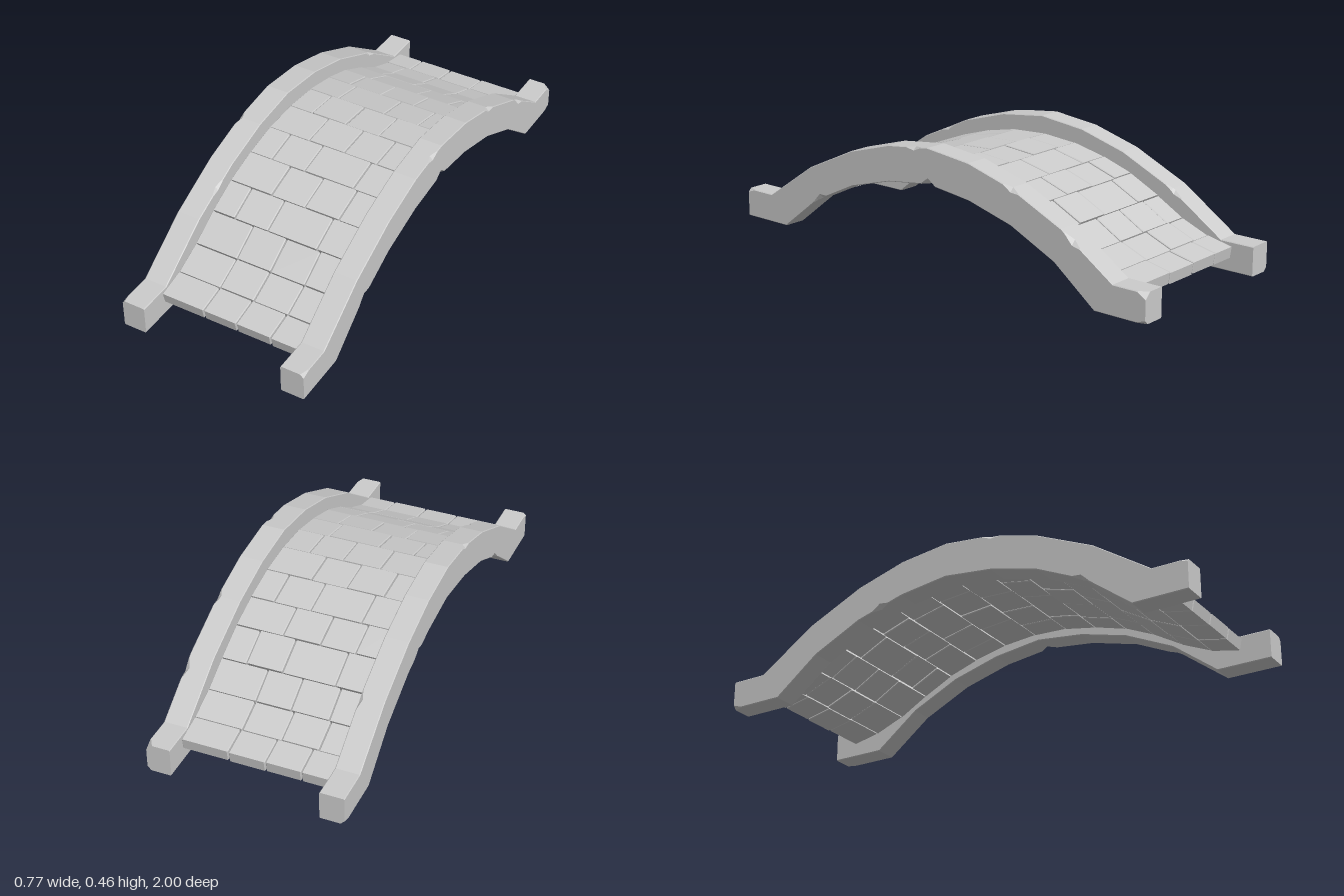
import * as THREE from 'three';

const material = new THREE.MeshStandardMaterial({ color: 0xcccccc, flatShading: true });

// Half profiles as [distance from crown, height]
const RAIL_TOP = [[0, 0.455], [0.2, 0.432], [0.4, 0.375], [0.63, 0.27], [0.86, 0.115], [1, 0.115]];
const RAIL_BOTTOM = [[0, 0.315], [0.2, 0.29], [0.4, 0.235], [0.6, 0.14], [0.78, 0], [1, 0]];
const DECK_TOP = [[0, 0.386], [0.135, 0.378], [0.275, 0.35], [0.415, 0.308], [0.54, 0.25], [0.66, 0.178], [0.775, 0.126], [0.92, 0.095]];

function heightAt(profile, z) {
  const d = Math.abs(z);
  for (let i = 1; i < profile.length; i++) {
    const [d0, y0] = profile[i - 1], [d1, y1] = profile[i];
    if (d <= d1 + 1e-6) return y0 + (y1 - y0) * (d - d0) / (d1 - d0);
  }
  return profile[profile.length - 1][1];
}

// Arched rail lofted from chamfered sections; chips are [z, corner, size]
// corners: 0 inner bottom, 1 outer bottom, 2 outer top, 3 inner top
function makeRail(side, chips) {
  const inner = 0.289, width = 0.095, edge = 0.003, reach = 0.035;
  const zs = new Set([0]);
  for (const d of [0.2, 0.4, 0.6, 0.63, 0.78, 0.86, 1]) zs.add(d).add(-d);
  for (const [z] of chips) for (const s of [z - reach, z, z + reach]) if (Math.abs(s) <= 1) zs.add(s);
  const stations = [...zs].sort((a, b) => a - b);
  const positions = [], index = [];

  for (const z of stations) {
    const b = heightAt(RAIL_BOTTOM, z), t = heightAt(RAIL_TOP, z);
    const c = [0, 1, 2, 3].map((k) => chips.reduce((m, [cz, corner, size]) =>
      corner === k ? Math.max(m, size * (1 - Math.abs(z - cz) / reach)) : m, edge));
    const section = [
      [0, b + c[0]], [c[0], b], [width - c[1], b], [width, b + c[1]],
      [width, t - c[2]], [width - c[2], t], [c[3], t], [0, t - c[3]],
    ];
    for (const [u, y] of section) positions.push(side * (inner + u), y, z);
  }

  const tri = (a, b, c) => (side > 0 ? index.push(a, b, c) : index.push(a, c, b));
  const last = (stations.length - 1) * 8;
  for (let i = 0; i < stations.length - 1; i++) {
    for (let j = 0; j < 8; j++) {
      const a = i * 8 + j, b = i * 8 + (j + 1) % 8;
      tri(a, b, b + 8);
      tri(a, b + 8, a + 8);
    }
  }
  for (let j = 1; j < 7; j++) {
    tri(0, j + 1, j);
    tri(last, last + j, last + j + 1);
  }
  const indexed = new THREE.BufferGeometry();
  indexed.setAttribute('position', new THREE.Float32BufferAttribute(positions, 3));
  indexed.setIndex(index);
  const geometry = indexed.toNonIndexed();
  geometry.computeVertexNormals();
  return new THREE.Mesh(geometry, material);
}

// Point on the deck top and its partner on the underside
function deckEdge(z) {
  const e = 0.03, thickness = 0.045;
  const top = new THREE.Vector2(z, heightAt(DECK_TOP, z));
  const slope = (heightAt(DECK_TOP, z + e) - heightAt(DECK_TOP, z - e)) / (2 * e);
  const normal = new THREE.Vector2(-slope, 1).normalize();
  return [top, top.clone().addScaledVector(normal, -thickness)];
}

// One paving stone spanning z0..z1 and x0..x1
function makeStone(z0, z1, x0, x1, lift) {
  const gap = 0.002, bevel = 0.003;
  const [topA, botA] = deckEdge(z0 + gap), [topB, botB] = deckEdge(z1 - gap);
  const shape = new THREE.Shape([botA, botB, topB, topA]);
  const geometry = new THREE.ExtrudeGeometry(shape, {
    depth: x1 - x0 - 2 * (gap + bevel),
    bevelEnabled: true, bevelSegments: 1,
    bevelThickness: bevel, bevelSize: bevel, bevelOffset: -bevel,
  });
  geometry.rotateY(-Math.PI / 2);
  geometry.translate(x1 - gap - bevel, lift, 0);
  const stone = new THREE.Mesh(geometry, material);
  stone.name = 'pavingStone';
  return stone;
}

export function createModel() {
  const model = new THREE.Group();
  model.name = 'archedFootbridge';

  // Side rails with worn chips
  const left = makeRail(1, [[0, 1, 0.024], [0.58, 1, 0.02], [0.07, 2, 0.014], [-0.4, 2, 0.016], [-0.68, 2, 0.018], [1, 2, 0.014], [-1, 2, 0.025], [-1, 1, 0.015]]);
  left.name = 'leftRail';
  const right = makeRail(-1, [[0.2, 2, 0.014], [-0.3, 1, 0.018], [0.58, 1, 0.016], [-0.64, 3, 0.014], [0.5, 3, 0.012], [1, 2, 0.01], [-1, 1, 0.015]]);
  right.name = 'rightRail';
  model.add(left, right);

  // Paved deck: row boundaries from back to front and the joints in each row
  const rows = [-0.91, -0.8, -0.685, -0.57, -0.44, -0.31, -0.165, -0.015, 0.135, 0.275, 0.415, 0.54, 0.66, 0.775, 0.888];
  const joints = [
    [-0.18, -0.04, 0.105], [-0.2, -0.055, 0.1], [-0.19, -0.04, 0.1], [-0.165, 0.045, 0.19],
    [-0.19, -0.05, 0.1], [-0.16, 0.045, 0.195], [-0.19, -0.04, 0.105], [-0.115, 0.04, 0.18],
    [-0.195, -0.05, 0.16], [-0.11, 0.035, 0.18], [-0.195, -0.05, 0.16], [-0.11, 0.035, 0.18],
    [-0.11, 0.035, 0.18], [-0.11, 0.03, 0.175],
  ];
  const deck = new THREE.Group();
  deck.name = 'deck';
  joints.forEach((cuts, r) => {
    const xs = [-0.292, ...cuts, 0.292];
    const row = new THREE.Group();
    row.name = 'stoneRow';
    for (let i = 0; i < xs.length - 1; i++) {
      const lift = 0.0015 * Math.sin(r * 5.1 + i * 2.7);
      row.add(makeStone(rows[r], rows[r + 1], xs[i], xs[i + 1], lift));
    }
    deck.add(row);
  });
  model.add(deck);
  return model;
}
